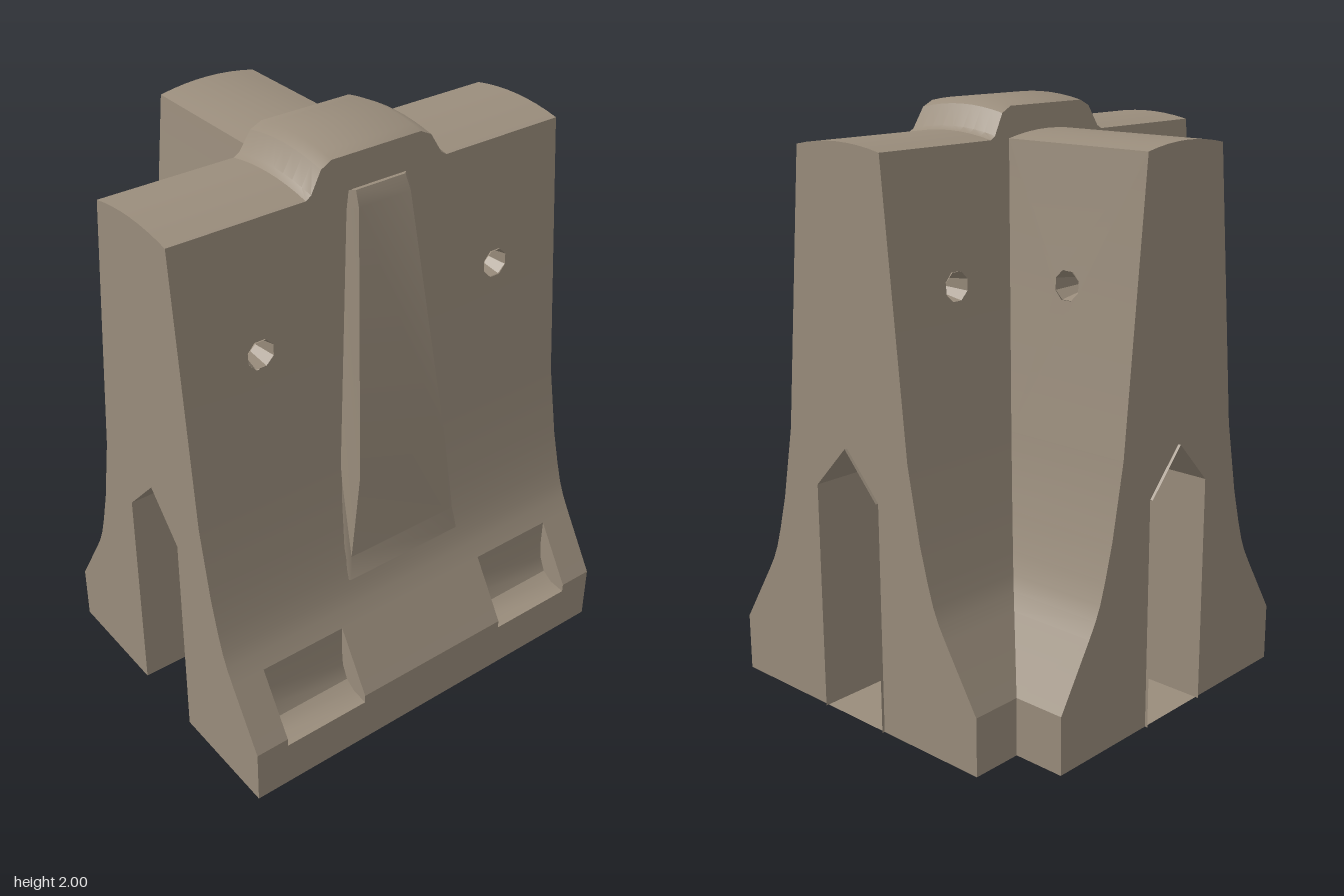
import * as THREE from 'three';
import { toCreasedNormals } from 'three/addons/utils/BufferGeometryUtils.js';

const concrete = new THREE.MeshStandardMaterial({ color: 0x9a8d7c, side: THREE.DoubleSide });
concrete.name = 'concrete';

// Half thickness of the wall against height: [y, h]
const PROFILE = [[0, 0.56], [0.17, 0.56], [0.2, 0.56], [0.41, 0.431], [0.46, 0.402], [0.51, 0.38],
  [0.58, 0.358], [0.7, 0.326], [0.95, 0.278], [1.88, 0.187], [1.98, 0.178]];
const TOP = 1.88, MID = 0.1, LEFT = 0.74, RIGHT = -0.75, STEM = -0.645;
const HOLE_Y = 1.45, HOLE_R = 0.05;
const HUMP = [[-0.27, 0], [-0.25, 0.012], [-0.21, 0.08], [-0.17, 0.1], [0.17, 0.1], [0.21, 0.08], [0.25, 0.012], [0.27, 0]];

function segment(y) {
  let i = 0;
  while (i < PROFILE.length - 2 && y > PROFILE[i + 1][0]) i++;
  return i;
}
function half(y) {
  const i = segment(y), [y0, h0] = PROFILE[i], [y1, h1] = PROFILE[i + 1];
  return h0 + (h1 - h0) * (y - y0) / (y1 - y0);
}
const segSlope = i => (PROFILE[i + 1][1] - PROFILE[i][1]) / (PROFILE[i + 1][0] - PROFILE[i][0]);
// Slope blended between neighbouring segments, with a crease above the plinth
function slope(y, strip) {
  if (strip < 2) return 0;
  const blend = k => k <= 2 ? segSlope(2) : k >= PROFILE.length - 1 ? segSlope(k - 1) : (segSlope(k - 1) + segSlope(k)) / 2;
  const t = (y - PROFILE[strip][0]) / (PROFILE[strip + 1][0] - PROFILE[strip][0]);
  return blend(strip) * (1 - t) + blend(strip + 1) * t;
}

function add(parent, name, geometry) {
  const mesh = new THREE.Mesh(geometry, concrete);
  mesh.name = name;
  parent.add(mesh);
  return mesh;
}
const shapeOf = pts => new THREE.Shape(pts.map(p => new THREE.Vector2(p[0], p[1])));

// Surface through rows of points
function grid(rows) {
  const n = rows[0].length, index = [];
  for (let r = 0; r < rows.length - 1; r++)
    for (let c = 0; c < n - 1; c++) {
      const a = r * n + c;
      index.push(a, a + 1, a + n, a + 1, a + n + 1, a + n);
    }
  const g = new THREE.BufferGeometry();
  g.setAttribute('position', new THREE.Float32BufferAttribute(rows.flat(2), 3));
  g.setIndex(index);
  return toCreasedNormals(g, 0.5);
}

// One flat piece of a wall face, bent onto the profile
function panel(parent, name, pts, strip, holes = []) {
  const shape = shapeOf(pts);
  for (const u of holes) {
    const path = new THREE.Path();
    for (let k = 0; k <= 8; k++) {
      const a = -(k + 0.5) * Math.PI / 4, x = u + HOLE_R * Math.cos(a), y = HOLE_Y + HOLE_R * Math.sin(a);
      if (k) path.lineTo(x, y); else path.moveTo(x, y);
    }
    shape.holes.push(path);
  }
  const g = new THREE.ShapeGeometry(shape), p = g.attributes.position;
  for (let i = 0; i < p.count; i++) {
    const y = p.getY(i), s = slope(y, strip), l = Math.hypot(s, 1);
    p.setZ(i, half(y));
    g.attributes.normal.setXYZ(i, 0, -s / l, 1 / l);
  }
  add(parent, name, g);
}

// A whole wall face: spans(y) lists [from, to] edge functions
function wallFace(root, name, turn, z, spans, holes, hump) {
  const face = new THREE.Group();
  face.name = name;
  face.position.z = z;
  face.rotation.y = turn;
  for (let i = 0; i < PROFILE.length - 2; i++) {
    const a = PROFILE[i][0], b = PROFILE[i + 1][0];
    for (const [l, r] of spans((a + b) / 2)) {
      const inside = b === TOP ? holes.filter(u => u > l(b) && u < r(b)) : [];
      panel(face, 'wallPanel', [[l(a), a], [r(a), a], [r(b), b], [l(b), b]], i, inside);
    }
  }
  if (hump) panel(face, 'humpFace', HUMP.map(([x, o]) => [x, TOP + o]).reverse(), PROFILE.length - 2);
  // Tapered blind sockets
  for (const u of holes) {
    const g = new THREE.CylinderGeometry(HOLE_R, 0.025, 0.12, 8, 1, true).rotateY(Math.PI / 8).rotateX(Math.PI / 2);
    add(face, 'liftingSocket', toCreasedNormals(g, 0.3)).position.set(u, HOLE_Y, half(HOLE_Y) - 0.06);
    const cap = add(face, 'socketEnd', new THREE.CircleGeometry(0.025, 8));
    cap.position.set(u, HOLE_Y, half(HOLE_Y) - 0.12);
  }
  root.add(face);
  return face;
}

// End face with a pointed key slot
function wallEnd(root, name, x, z, turn, rim, depth) {
  const end = new THREE.Group();
  end.name = name;
  end.position.set(x, 0, z);
  end.rotation.y = turn;
  const slot = [[-0.14, 0], [-0.14, 0.79], [0, 0.94], [0.14, 0.79], [0.14, 0]];
  const right = PROFILE.slice(0, -1).map(([y, h]) => [h, y]);
  const dome = [];
  for (let k = 1; k < 8; k++) {
    const t = 1 - k / 4;
    dome.push([t * half(TOP), TOP + 0.02 * (1 - t * t)]);
  }
  const left = right.map(([h, y]) => [-h, y]).reverse();
  add(end, 'endFace', new THREE.ShapeGeometry(shapeOf([...right, ...dome, ...left, ...slot])));
  add(end, 'slotWalls', grid([rim, -depth].map(d => slot.map(([a, b]) => [a, b, d]))));
  add(end, 'slotBack', new THREE.ShapeGeometry(shapeOf(slot))).position.z = -depth;
  root.add(end);
}

export function createModel() {
  const root = new THREE.Group();
  root.name = 'barrierJunction';
  const at = v => () => v;
  const recesses = [[-0.63, -0.31], [0.295, 0.615]];

  // Faces of the main wall and of the stem
  const front = wallFace(root, 'frontFace', 0, MID, y => y > 0.17 && y < 0.41
    ? [[at(RIGHT), at(-0.63)], [at(-0.31), at(0.295)], [at(0.615), at(LEFT)]]
    : [[at(RIGHT), at(LEFT)]], [-0.47, 0.47], true);
  wallFace(root, 'backFace', Math.PI, MID,
    () => [[at(-LEFT), y => -half(y)], [half, at(-RIGHT)]], [-0.47, 0.47], true);
  wallFace(root, 'stemLeftFace', Math.PI / 2, 0, () => [[y => half(y) - MID, at(-STEM)]], [0.37], false);
  wallFace(root, 'stemRightFace', -Math.PI / 2, 0, () => [[at(STEM), y => MID - half(y)]], [-0.37], false);

  // Ends
  wallEnd(root, 'leftEnd', LEFT, MID, Math.PI / 2, 0.01, 0.33);
  wallEnd(root, 'rightEnd', RIGHT, MID, -Math.PI / 2, 0, 0.33);
  wallEnd(root, 'stemEnd', 0, STEM, Math.PI, 0.01, 0.33);

  // Domed tops
  const steps = Array.from({ length: 9 }, (_, k) => 1 - k / 4);
  const crown = t => 0.02 * (1 - t * t);
  add(root, 'mainTop', grid([[RIGHT, 0], ...HUMP, [LEFT, 0]].map(([x, o]) =>
    steps.map(t => [x, TOP + o + crown(t), MID + t * half(TOP + o)]).reverse())));
  add(root, 'stemTop', grid([STEM, MID - half(TOP) + 0.01].map(z =>
    steps.map(t => [t * half(TOP), TOP + crown(t), z]))));

  // Underside, open below the right end slot
  const outline = [[RIGHT, 0.66], [LEFT, 0.66], [LEFT, -0.46], [0.56, -0.46], [0.56, STEM], [-0.56, STEM],
    [-0.56, -0.46], [RIGHT, -0.46], [RIGHT, -0.04], [-0.42, -0.04], [-0.42, 0.24], [RIGHT, 0.24]];
  add(root, 'underside', new THREE.ShapeGeometry(shapeOf(outline)).rotateX(Math.PI / 2));

  // Tapered rib on the front: [y, outer half width, inner half width, z]
  const rib = [[0.54, 0.24, 0.23, 0.474], [0.62, 0.235, 0.215, 0.456], [0.93, 0.205, 0.18, 0.45],
    [1.82, 0.125, 0.1, 0.322], [1.87, 0.115, 0.095, 0.3]];
  add(root, 'frontRib', grid(rib.map(([y, o, i, z]) => {
    const w = MID + half(y) - 0.002;
    return [[-o, y, w], [-i, y, z], [i, y, z], [o, y, w]];
  })));
  add(root, 'ribTop', grid([[[-0.115, 1.87, 0.28], [0.115, 1.87, 0.28]], [[-0.095, 1.87, 0.3], [0.095, 1.87, 0.3]]]));

  // Scooped recesses at the foot of the front
  const scoop = [[0.56, 0.17], [0.5, 0.175], [0.46, 0.2], [0.437, 0.25], [0.43, 0.32], [0.431, 0.41]];
  for (const [a, b] of recesses) {
    add(front, 'recessFloor', grid([a, b].map(x => scoop.map(([z, y]) => [x, y, z]))));
    for (const x of [a, b]) {
      const side = add(front, 'recessSide', new THREE.ShapeGeometry(shapeOf([...scoop, [0.56, 0.2]].map(([z, y]) => [-z, y]))));
      side.rotation.y = Math.PI / 2;
      side.position.x = x;
    }
  }
  return root;
}
